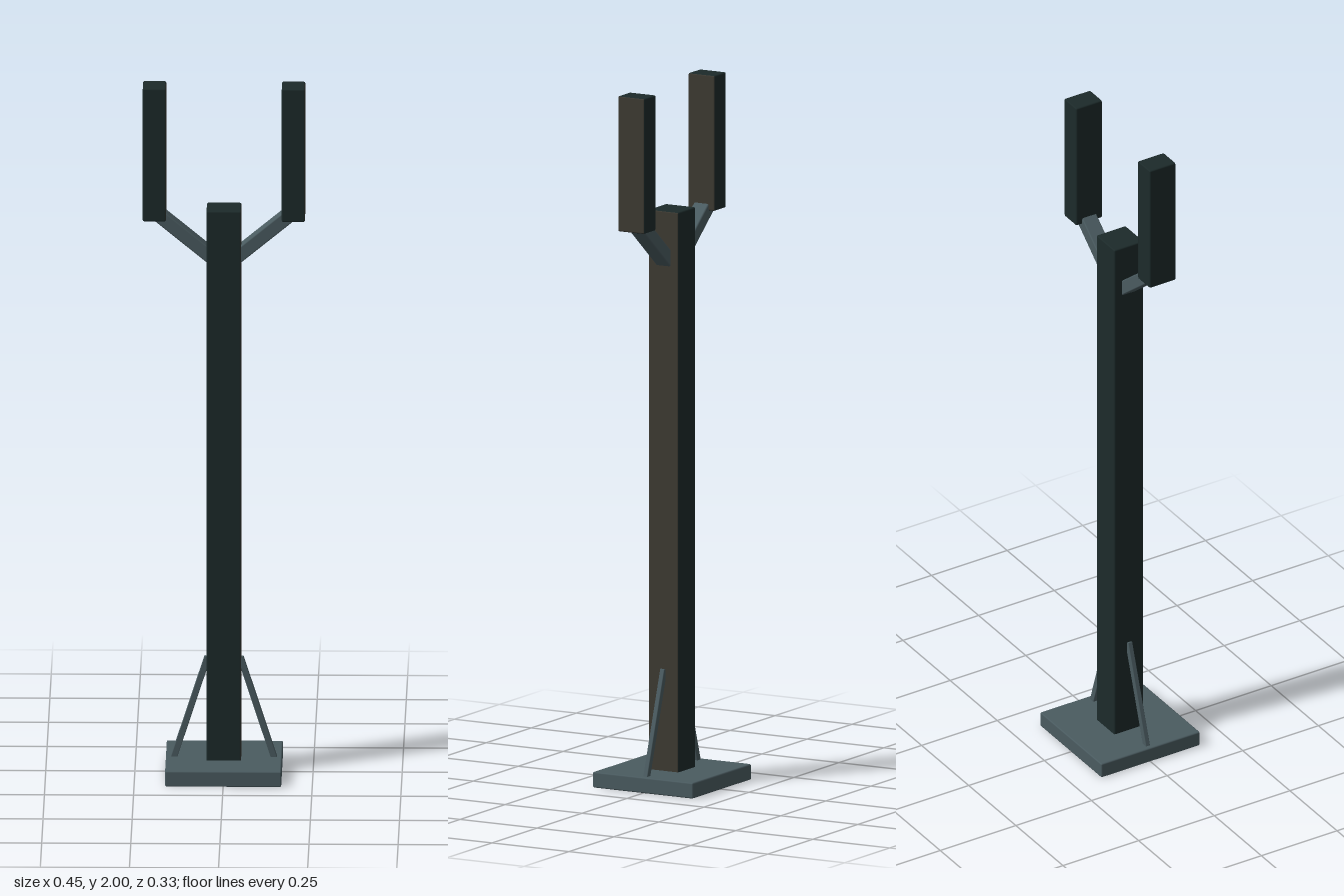
import * as THREE from 'three';
import { RoundedBoxGeometry } from 'three/addons/geometries/RoundedBoxGeometry.js';

const colour = (name, hex) => {
  const m = new THREE.MeshStandardMaterial({ color: hex });
  m.name = name;
  return m;
};

export function createModel() {
  const model = new THREE.Group();
  model.name = 'forkedPost';
  const darkGreen = colour('dark green', 0x1c2a2a);
  const brown = colour('weathered brown', 0x3d3a32);
  const steel = colour('steel grey', 0x4a5b60);
  // The +x face of every upright is brown, the rest dark green
  const upright = [brown, darkGreen, darkGreen, darkGreen, darkGreen, darkGreen];

  // Slightly bevelled block, placed by its centre
  function block(name, w, h, d, x, y, material, bevel = 0.004) {
    const mesh = new THREE.Mesh(new RoundedBoxGeometry(w, h, d, 1, bevel), material);
    mesh.name = name;
    mesh.position.set(x, y, 0);
    model.add(mesh);
    return mesh;
  }

  // Square bar running between two points in the z = 0 plane
  function bar(name, x0, y0, x1, y1, thick, depth, bevel) {
    const dx = x1 - x0, dy = y1 - y0;
    const mesh = block(name, thick, Math.hypot(dx, dy), depth,
      (x0 + x1) / 2, (y0 + y1) / 2, steel, bevel);
    mesh.rotation.z = Math.atan2(-dx, dy);
  }

  block('basePlate', 0.326, 0.045, 0.326, 0, 0.0225, steel);
  block('mainPost', 0.097, 1.605, 0.097, 0, 0.8425, upright);

  // Mirrored prongs, the arms that carry them and the foot braces
  for (const [side, s] of [['left', 1], ['right', -1]]) {
    block(side + 'Prong', 0.065, 0.387, 0.086, s * 0.195, 1.8065, upright);
    bar(side + 'Arm', s * 0.02, 1.49, s * 0.19, 1.63, 0.038, 0.048, 0.004);
    bar(side + 'Brace', s * 0.046, 0.335, s * 0.143, 0.035, 0.018, 0.014, 0.002);
  }
  return model;
}
